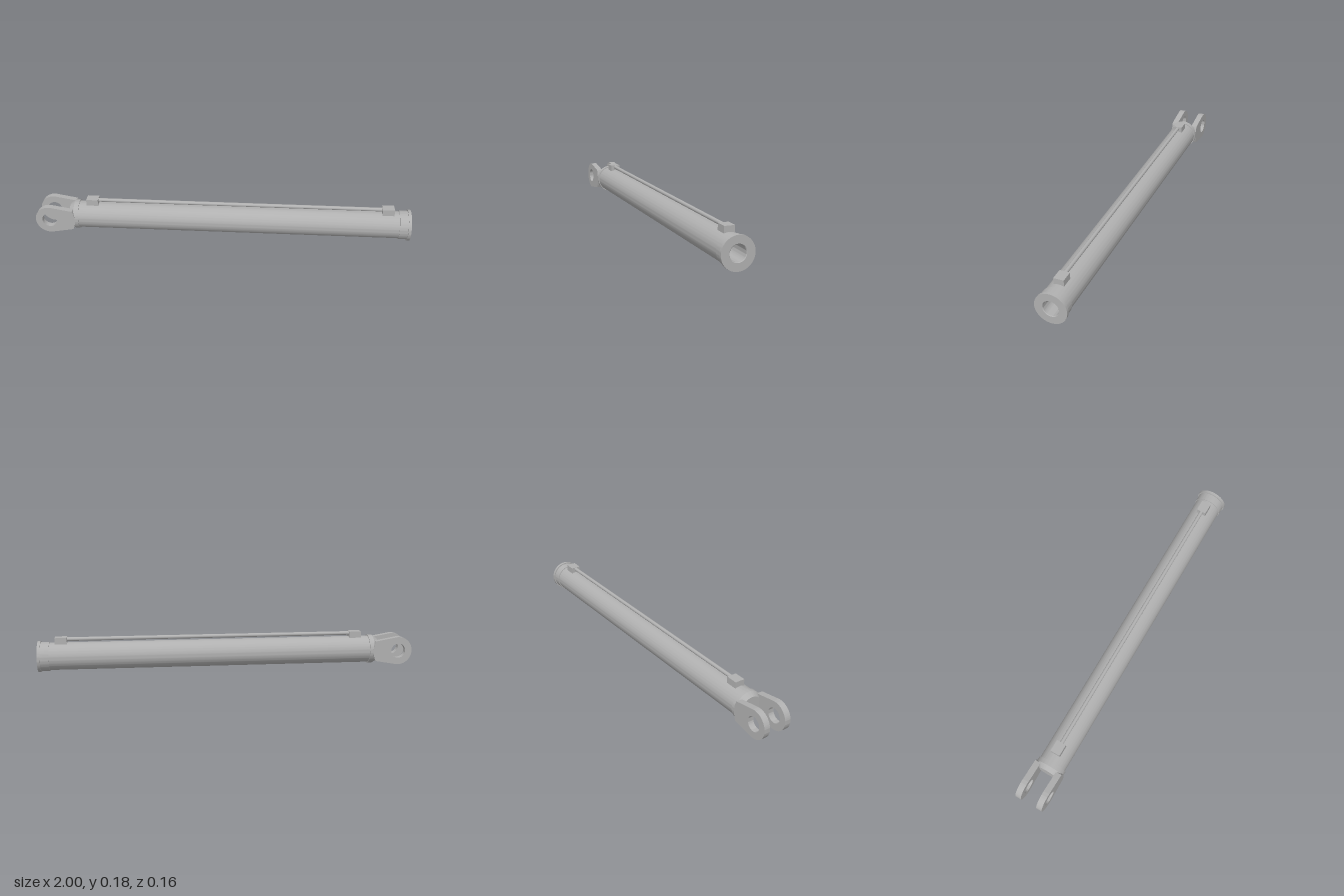
import * as THREE from 'three';
import { toCreasedNormals } from 'three/addons/utils/BufferGeometryUtils.js';

const AXIS_Y = 0.082;

export function createModel() {
  const model = new THREE.Group();
  model.name = 'hydraulicCylinder';
  const steel = new THREE.MeshStandardMaterial({ color: 0xb0b0b0 });
  steel.name = 'grey steel';

  const add = (name, geometry, x, y, z) => {
    const mesh = new THREE.Mesh(geometry, steel);
    mesh.name = name;
    mesh.position.set(x, y, z);
    model.add(mesh);
    return mesh;
  };

  // Turned body along x: chamfered rear collar, barrel, front gland, flange and blind bore
  const profile = [
    [-0.82, 0], [-0.82, 0.06], [-0.795, 0.077], [-0.77, 0.077], [-0.77, 0.072],
    [0.94, 0.072], [0.94, 0.076], [0.985, 0.076], [0.985, 0.082], [1, 0.082],
    [1, 0.043], [0.997, 0.04], [0.85, 0.04], [0.85, 0],
  ].map(([x, r]) => new THREE.Vector2(r, x));
  const body = new THREE.LatheGeometry(profile, 72);
  body.rotateZ(-Math.PI / 2);
  add('barrel', toCreasedNormals(body, 0.5), 0, AXIS_Y, 0);

  // Clevis lugs: round eye tapering towards the collar
  const tangent = THREE.MathUtils.degToRad(80.5);
  const lug = new THREE.Shape();
  lug.absarc(0, 0, 0.075, tangent, Math.PI * 2 - tangent, false);
  lug.lineTo(0.125, -0.054);
  lug.quadraticCurveTo(0.15, 0, 0.125, 0.054);
  lug.closePath();
  const eye = new THREE.Path();
  eye.absarc(0, 0, 0.039, 0, Math.PI * 2, true);
  lug.holes.push(eye);
  const lugGeometry = toCreasedNormals(
    new THREE.ExtrudeGeometry(lug, { depth: 0.032, bevelEnabled: false, curveSegments: 40 }), 0.5);
  add('leftClevisLug', lugGeometry, -0.925, AXIS_Y, 0.045);
  add('rightClevisLug', lugGeometry, -0.925, AXIS_Y, -0.077);

  // Port blocks on top of the barrel
  for (const [name, x] of [['rearPortBlock', -0.697], ['frontPortBlock', 0.88]]) {
    add(name, new THREE.BoxGeometry(0.063, 0.043, 0.052), x, 0.1615, 0);
  }

  // Oil pipe joining the blocks
  const pipe = new THREE.CylinderGeometry(0.01, 0.01, 1.53, 24);
  pipe.rotateZ(Math.PI / 2);
  add('oilPipe', pipe, 0.0915, 0.172, 0);

  return model;
}
